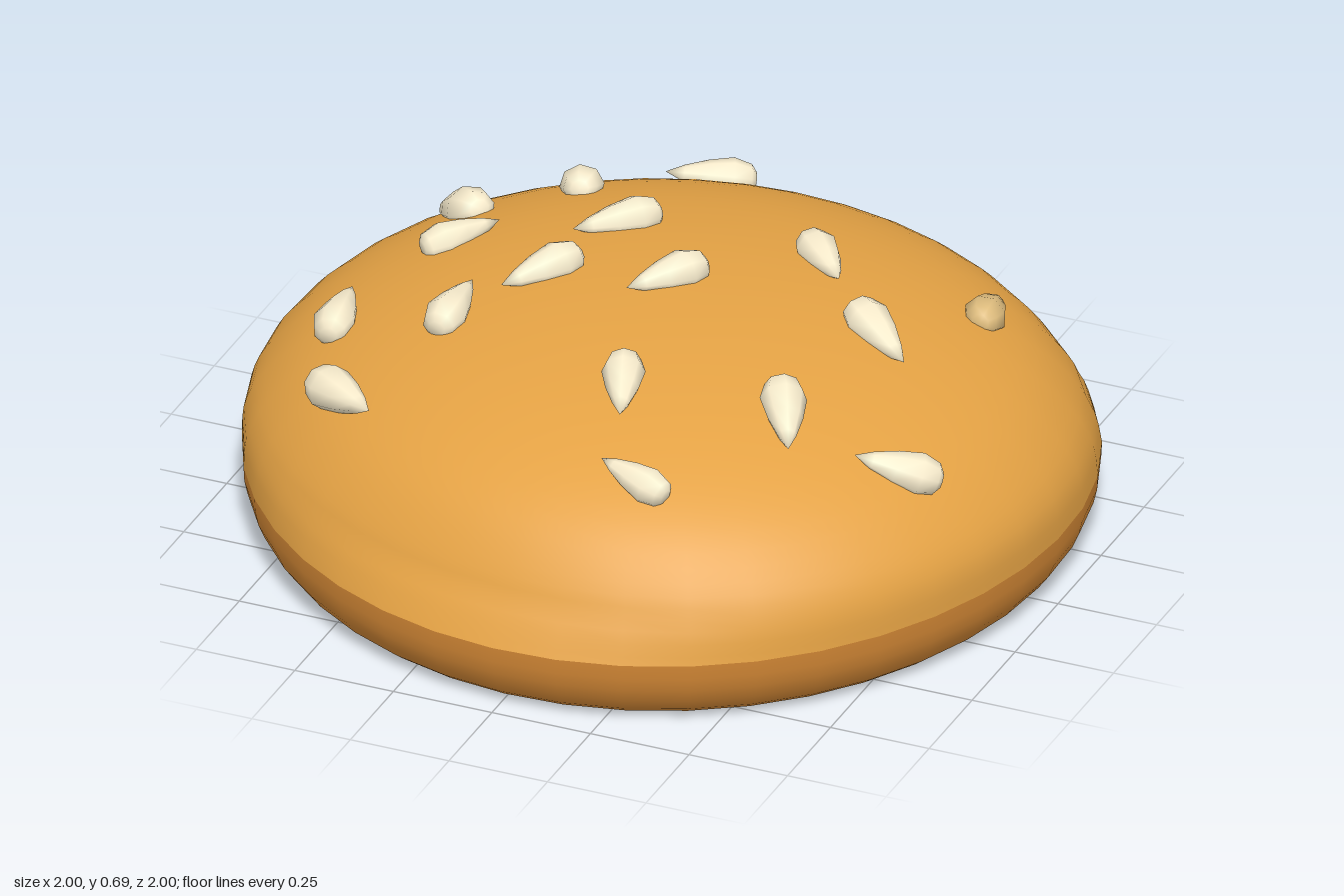
import * as THREE from 'three';
import { mergeVertices } from 'three/addons/utils/BufferGeometryUtils.js';

const V2 = (p) => new THREE.Vector2(p[0], p[1]);
const mat = (color) => new THREE.MeshStandardMaterial({ color });

// Dome outline from rim to apex, as [radius, height]
const domeCurve = new THREE.SplineCurve([
  [1, 0.172], [0.995, 0.26], [0.95, 0.342], [0.85, 0.435], [0.7, 0.515],
  [0.5, 0.58], [0.25, 0.622], [0, 0.635],
].map(V2));
const domeProfile = domeCurve.getPoints(24);
domeProfile[24].x = 0;

// Height of the undented dome at a given radius
function domeHeight(r) {
  for (let i = 1; i < domeProfile.length; i++) {
    const a = domeProfile[i - 1], b = domeProfile[i];
    if (r >= b.x) return THREE.MathUtils.lerp(b.y, a.y, Math.min(1, (r - b.x) / (a.x - b.x)));
  }
  return 0.635;
}

// Soft dents in the dome just above the rim: direction, width and depth
const dents = [
  { x: -0.1, z: 1, width: 0.65, depth: 0.055 },
  { x: 0.35, z: -0.9, width: 0.65, depth: 0.06 },
];
function dentAt(x, y, z) {
  const rise = THREE.MathUtils.clamp((y - 0.172) / 0.1, 0, 1);
  const fade = THREE.MathUtils.smoothstep(0.6 - y, 0, 0.3);
  let d = 0;
  for (const k of dents) {
    const cos = (x * k.x + z * k.z) / (Math.hypot(x, z) * Math.hypot(k.x, k.z) || 1);
    const angle = Math.acos(THREE.MathUtils.clamp(cos, -1, 1));
    d += k.depth * Math.exp(-((angle / k.width) ** 2));
  }
  return 1 - d * rise * fade;
}

// Hand-formed outline: fuller towards the back left, flatter opposite
function outlineAt(x, z) {
  const phi = Math.atan2(x, z) - Math.PI * 0.75;
  return 1 + 0.027 * Math.cos(phi) * Math.cos(2 * phi);
}

// Scale every vertex sideways by a rule, then smooth the normals
function shape(g, scaleAt) {
  const p = g.attributes.position;
  for (let i = 0; i < p.count; i++) {
    const s = scaleAt(p.getX(i), p.getY(i), p.getZ(i));
    p.setX(i, p.getX(i) * s);
    p.setZ(i, p.getZ(i) * s);
  }
  g.computeVertexNormals();
  return g;
}
const bunOutline = (x, y, z) => outlineAt(x, z);

function seamlessLathe(profile, segments) {
  const g = new THREE.LatheGeometry(profile, segments);
  g.deleteAttribute('uv');
  g.deleteAttribute('normal');
  return mergeVertices(g, 1e-4);
}

// Teardrop seed of unit length along +y, tip at the origin, blunt far end
function buildSeed() {
  const profile = [[0, 0], [0.1, 0.2], [0.19, 0.46], [0.25, 0.74], [0.19, 0.94], [0.1, 1], [0, 1]];
  const g = seamlessLathe(profile.map(V2), 8);
  g.computeVertexNormals();
  return g;
}

// Seeds seen from above: tip x, tip z, blunt end x, blunt end z; the last is toasted
const seeds = [
  [-0.32, -0.74, -0.13, -0.83], [-0.46, -0.62, -0.4, -0.43], [-0.75, -0.43, -0.59, -0.29],
  [-0.5, -0.2, -0.63, -0.05], [-0.3, -0.16, -0.15, -0.32], [-0.06, 0.08, 0.06, -0.1],
  [-0.35, 0.14, -0.23, -0.04], [-0.74, 0.1, -0.71, 0.31], [-0.43, 0.12, -0.43, 0.33],
  [-0.48, 0.6, -0.67, 0.47], [0.12, 0.53, 0.05, 0.34], [0.13, 0.66, 0.31, 0.7],
  [0.51, 0.45, 0.41, 0.26], [0.64, 0.37, 0.82, 0.28], [0.61, 0.01, 0.43, -0.12],
  [0.35, -0.21, 0.21, -0.36], [0.62, -0.51, 0.66, -0.31],
];

// Point on the dented dome above (x, z)
function onDome(x, z) {
  const r = Math.hypot(x, z);
  return new THREE.Vector3(x, domeHeight(r / dentAt(x, domeHeight(r), z)), z);
}

function placeSeed(mesh, [tx, tz, bx, bz]) {
  const tip = onDome(tx, tz), end = onDome(bx, bz);
  const mid = tip.clone().add(end).multiplyScalar(0.5);
  const r = Math.hypot(mid.x, mid.z);
  const slope = (domeHeight(r - 0.03) - domeHeight(r + 0.03)) / 0.06;
  const along = end.clone().sub(tip);
  const length = along.length();
  along.normalize();
  const normal = new THREE.Vector3((mid.x / r) * slope, 1, (mid.z / r) * slope);
  normal.addScaledVector(along, -normal.dot(along)).normalize();
  const side = along.clone().cross(normal);
  mesh.quaternion.setFromRotationMatrix(new THREE.Matrix4().makeBasis(side, along, normal));
  mesh.position.copy(tip).addScaledVector(normal, 0.014);
  mesh.scale.set(length, length, length * 0.92);
}

export function createModel() {
  const group = new THREE.Group();
  const add = (name, geometry, material) => {
    const mesh = new THREE.Mesh(geometry, material);
    mesh.name = name;
    group.add(mesh);
    return mesh;
  };
  const addLathe = (name, profile, material) =>
    add(name, shape(seamlessLathe(profile.map(V2), 40), bunOutline), material);

  const dome = shape(seamlessLathe(domeProfile, 40), (x, y, z) => outlineAt(x, z) * dentAt(x, y, z));
  add('bunDome', dome, mat(0xe4a244));

  // Rounded lower rim, closed by a narrow ledge under the dents
  const rimMaterial = mat(0xd28735);
  addLathe('bunRim', [
    [0.83, 0.014], [0.87, 0.004], [0.9, 0], [0.925, 0.012], [0.95, 0.031],
    [0.975, 0.065], [0.99, 0.1], [0.998, 0.135], [1, 0.172],
  ], rimMaterial);
  addLathe('rimLedge', [[1, 0.172], [0.88, 0.172]], rimMaterial);

  // Slightly hollow underside: toasted ring around a pale centre
  addLathe('undersideRing', [[0.56, 0.03], [0.83, 0.014]], mat(0xdda250));
  addLathe('undersideCentre', [[0, 0.032], [0.56, 0.03]], mat(0xf0dfae));

  // Sesame seeds
  const seedGeometry = buildSeed();
  const paleSeed = mat(0xf8eccd), toastedSeed = mat(0xdfbd7e);
  seeds.forEach((s, i) => {
    placeSeed(add('seed', seedGeometry, i === seeds.length - 1 ? toastedSeed : paleSeed), s);
  });

  return group;
}
